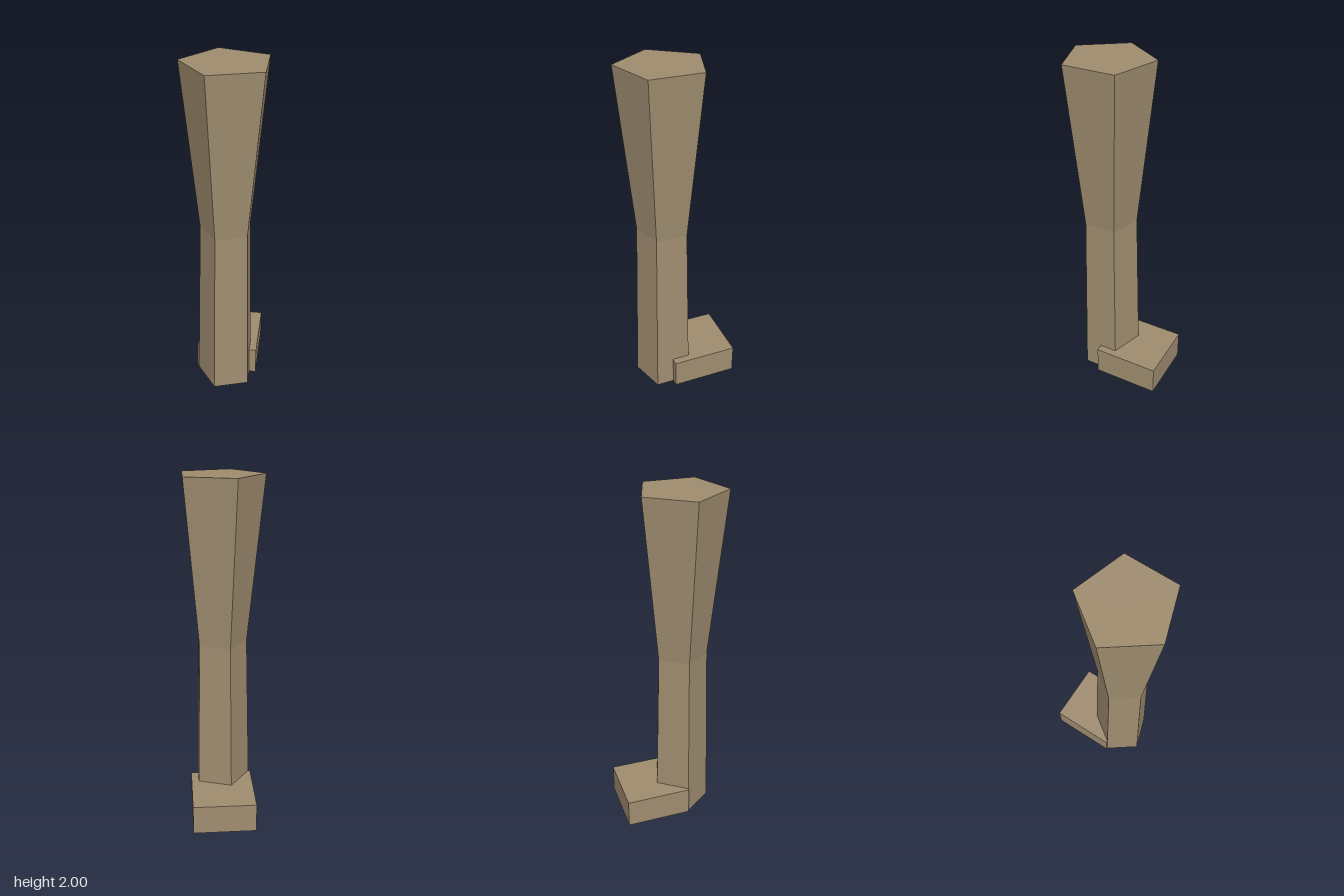
import * as THREE from 'three';

const CX = 0.0236, CZ = 0.073; // axis of the leg

export function createModel() {
  const model = new THREE.Group();
  model.name = 'leg';
  const material = new THREE.MeshStandardMaterial({
    color: 0xa08d70, flatShading: true, side: THREE.DoubleSide,
  });

  // Five-sided leg: narrow at the ankle, flared to a closed top, open underneath
  const profile = [[0.178, 0], [0.154, 1.05], [0.251, 2], [0, 2]]
    .map(([r, y]) => new THREE.Vector2(r, y));
  const shaft = new THREE.Mesh(new THREE.LatheGeometry(profile, 5, -Math.PI / 2), material);
  shaft.name = 'shaft';
  shaft.position.set(CX, 0, CZ);

  // Foot block reaching back from the leg axis, with no underside
  const depth = 0.389, height = 0.175;
  const block = new THREE.BoxGeometry(0.369, height, depth);
  const under = block.groups[3]; // the -y face
  block.setIndex(Array.from(block.index.array)
    .filter((_, i) => i < under.start || i >= under.start + under.count));
  block.clearGroups();
  const foot = new THREE.Mesh(block, material);
  foot.name = 'foot';
  foot.position.set(CX, height / 2, CZ - depth / 2);

  model.add(shaft, foot);
  return model;
}
